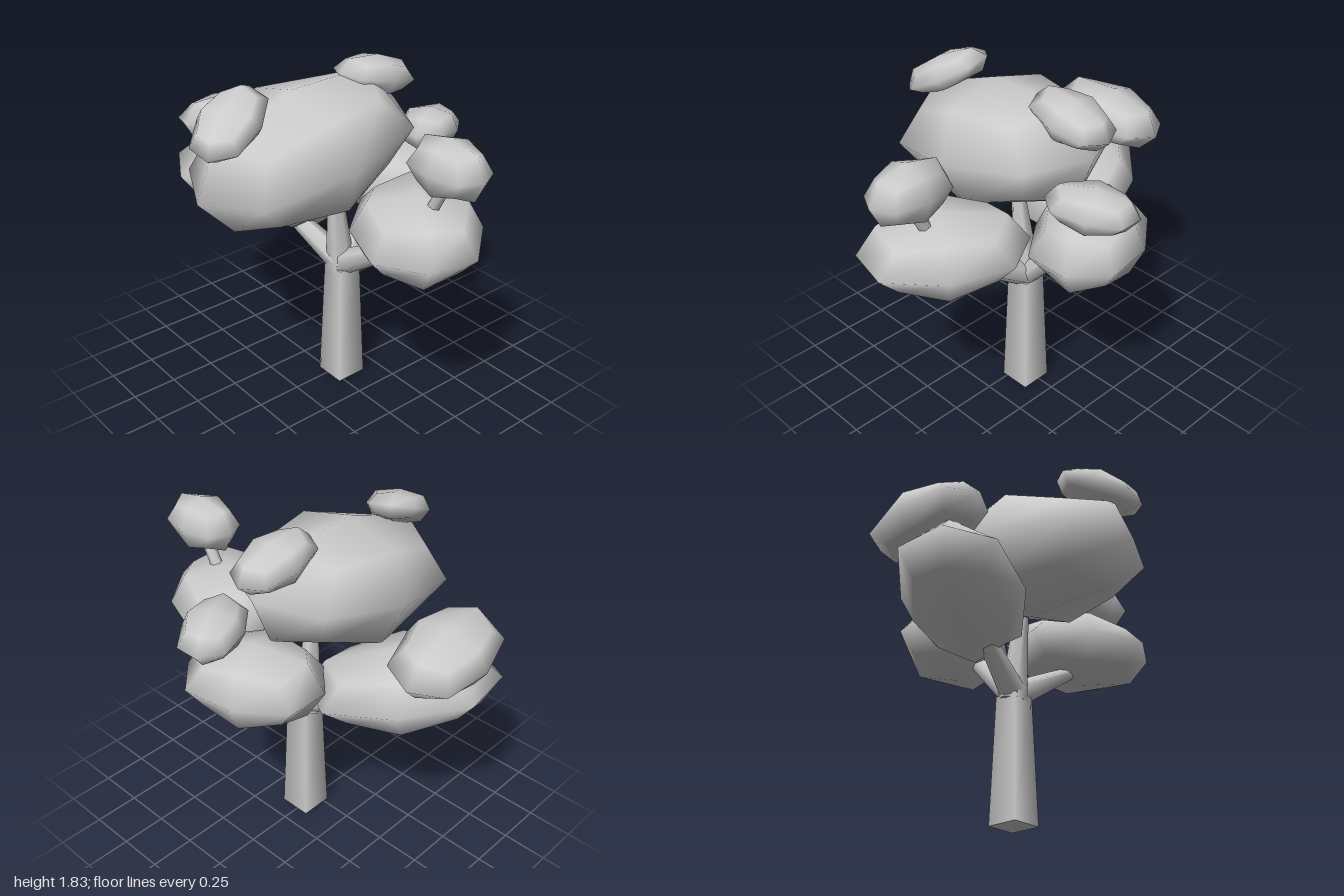
import * as THREE from 'three';
import { mergeVertices } from 'three/addons/utils/BufferGeometryUtils.js';

const material = new THREE.MeshStandardMaterial({ color: 0xcccccc });

// Low-poly puff: a cube split 2 x 2 per side, with edges and corners pulled in
function puffGeometry() {
  const box = new THREE.BoxGeometry(2, 2, 2, 2, 2, 2);
  box.deleteAttribute('uv');
  box.deleteAttribute('normal');
  const geometry = mergeVertices(box);
  const pos = geometry.attributes.position;
  const pull = [1, 1, 0.75, 0.556];
  const v = new THREE.Vector3();
  for (let i = 0; i < pos.count; i++) {
    v.fromBufferAttribute(pos, i);
    const axes = v.toArray().filter((c) => Math.abs(c) > 0.5).length;
    v.multiplyScalar(pull[axes]);
    pos.setXYZ(i, v.x, v.y, v.z);
  }
  geometry.computeVertexNormals();
  return geometry;
}

// Tapered limb between two points
function limb(name, from, to, r0, r1, sides = 6) {
  const a = new THREE.Vector3(...from);
  const b = new THREE.Vector3(...to);
  const dir = b.clone().sub(a);
  const geometry = new THREE.CylinderGeometry(r1, r0, dir.length(), sides);
  geometry.rotateY(Math.PI / sides);
  const mesh = new THREE.Mesh(geometry, material);
  mesh.name = name;
  mesh.position.copy(a).add(b).multiplyScalar(0.5);
  mesh.quaternion.setFromUnitVectors(new THREE.Vector3(0, 1, 0), dir.normalize());
  return mesh;
}

export function createModel() {
  const tree = new THREE.Group();
  tree.name = 'tree';

  // Trunk and branches
  tree.add(
    limb('trunk', [0.02, 0, -0.06], [0.02, 0.7, -0.06], 0.126, 0.095, 4),
    limb('rightBranch', [0.03, 0.71, -0.06], [-0.45, 1.0, 0.07], 0.075, 0.035),
    limb('leftBranch', [0.01, 0.71, -0.06], [0.6, 1.06, -0.06], 0.075, 0.028),
    limb('backBranch', [0.02, 0.71, -0.06], [0, 1.1, -0.44], 0.07, 0.035),
    limb('middleBranch', [0.01, 0.68, -0.06], [0.02, 1.22, 0], 0.08, 0.035),
    limb('leftTwig', [0.66, 1.26, -0.06], [0.77, 1.46, -0.06], 0.035, 0.03)
  );

  // Foliage: name, centre, radii, rotation (tilted first, then turned about y)
  const puff = puffGeometry();
  const foliage = [
    ['mainCrown', [-0.035, 1.43, 0.165], [0.425, 0.33, 0.64], [0.19, 0, 0]],
    ['rightCrown', [-0.525, 1.05, 0.085], [0.5, 0.205, 0.32], [0, 0.57, -0.2]],
    ['leftCrown', [0.58, 1.15, -0.06], [0.425, 0.2, 0.33], [0, -0.635, -0.03]],
    ['backCrown', [-0.03, 1.11, -0.46], [0.37, 0.21, 0.29], [0, 0.4, 0]],
    ['rightPuff', [-0.775, 1.35, 0.085], [0.225, 0.145, 0.33], [-0.15, 0.08, 0.12]],
    ['leftPuff', [0.77, 1.54, -0.065], [0.225, 0.15, 0.15], [0, 0, 0]],
    ['frontPuff', [-0.035, 1.675, 0.59], [0.17, 0.09, 0.25], [0.45, 0.5, 0]],
    ['topBackPuff', [-0.035, 1.715, -0.315], [0.16, 0.105, 0.24], [-0.22, 0, 0]],
    ['backPuff', [0.11, 1.4, -0.59], [0.16, 0.11, 0.235], [-0.1, 0.5, 0]]
  ];
  for (const [name, centre, radii, rotation] of foliage) {
    const mesh = new THREE.Mesh(puff, material);
    mesh.name = name;
    mesh.position.set(...centre);
    mesh.scale.set(...radii);
    mesh.rotation.set(...rotation, 'YXZ');
    tree.add(mesh);
  }
  return tree;
}
